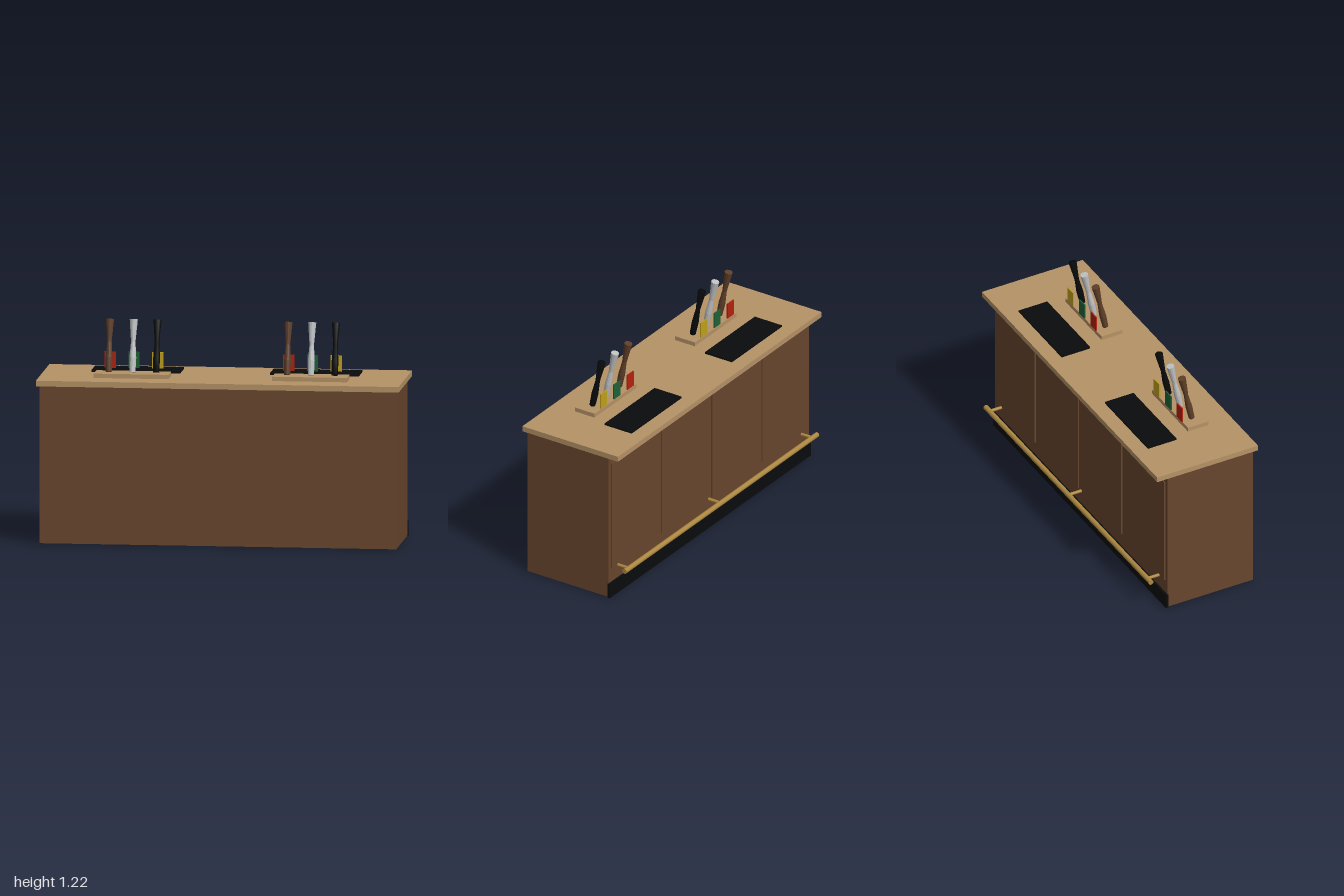
import * as THREE from 'three';

const mat = (name, color, flatShading = false) => {
  const m = new THREE.MeshStandardMaterial({ color, flatShading });
  m.name = name;
  return m;
};

export function createModel() {
  const group = new THREE.Group();
  group.name = 'barCounter';
  const wood = mat('darkWood', 0x68462d);
  const top = mat('lightWood', 0xb59266);
  const brass = mat('brass', 0xac8740);
  const black = mat('black', 0x0a0b0c);
  const handleWood = mat('handleWood', 0x5f3f2a, true);
  const silver = mat('silver', 0xbfc1c3, true);
  const red = mat('red', 0xb5220f);
  const green = mat('green', 0x1d6237);
  const yellow = mat('yellow', 0xbfa01c);

  const add = (name, geometry, material, parent = group) => {
    const mesh = new THREE.Mesh(geometry, material);
    mesh.name = name;
    parent.add(mesh);
    return mesh;
  };
  // Box given by its lower and upper corners
  const box = (name, material, [x0, y0, z0], [x1, y1, z1], parent) => {
    const mesh = add(name, new THREE.BoxGeometry(x1 - x0, y1 - y0, z1 - z0), material, parent);
    mesh.position.set((x0 + x1) / 2, (y0 + y1) / 2, (z0 + z1) / 2);
    return mesh;
  };

  // Cabinet, countertop and kick board
  box('cabinet', wood, [-0.984, 0.004, -0.23], [0.984, 0.875, 0.302]);
  box('countertop', top, [-1, 0.875, -0.304], [1, 0.906, 0.326]);
  box('kickBoard', black, [-0.987, 0, -0.242], [0.987, 0.086, -0.226]);

  // Four raised panels on the back
  for (let i = 0; i < 4; i++) {
    const x = (i - 1.5) * 0.493;
    box('backPanel', wood, [x - 0.22, 0.17, -0.238], [x + 0.22, 0.826, -0.229]);
  }

  // Foot rail on three brackets
  const rail = add('footRail', new THREE.CylinderGeometry(0.0145, 0.0145, 1.89, 16), brass);
  rail.rotation.z = Math.PI / 2;
  rail.position.set(0, 0.169, -0.311);
  for (const x of [-0.9, 0, 0.9]) {
    const bracket = add('railBracket', new THREE.CylinderGeometry(0.009, 0.009, 0.08, 12), brass);
    bracket.rotation.x = Math.PI / 2;
    bracket.position.set(x, 0.169, -0.271);
  }

  // Turned handle profile: foot, belly, waist and flared end
  const profile = [[0, 0], [0.0165, 0], [0.019, 0.08], [0.0125, 0.165], [0.0225, 0.29], [0, 0.29]]
    .map(([r, y]) => new THREE.Vector2(r, y));
  const handleGeometry = new THREE.LatheGeometry(profile, 12);

  // Two tap stations, each with a drip mat, a base, three handles and three badges
  for (const x of [-0.492, 0.492]) {
    const station = new THREE.Group();
    station.name = 'tapStation';
    station.position.x = x;
    group.add(station);
    box('dripMat', black, [-0.245, 0.904, -0.218], [0.245, 0.916, -0.04], station);
    box('tapBase', top, [-0.206, 0.904, 0.053], [0.206, 0.93, 0.183], station);
    [[handleWood, red], [silver, green], [black, yellow]].forEach(([grip, badge], i) => {
      const hx = (i - 1) * 0.131;
      const handle = add('tapHandle', handleGeometry, grip, station);
      handle.position.set(hx, 0.932, 0.117);
      handle.rotation.x = -0.212;
      box('tapBadge', badge, [hx - 0.031, 0.944, 0.041], [hx + 0.031, 1.034, 0.048], station);
    });
  }
  return group;
}
